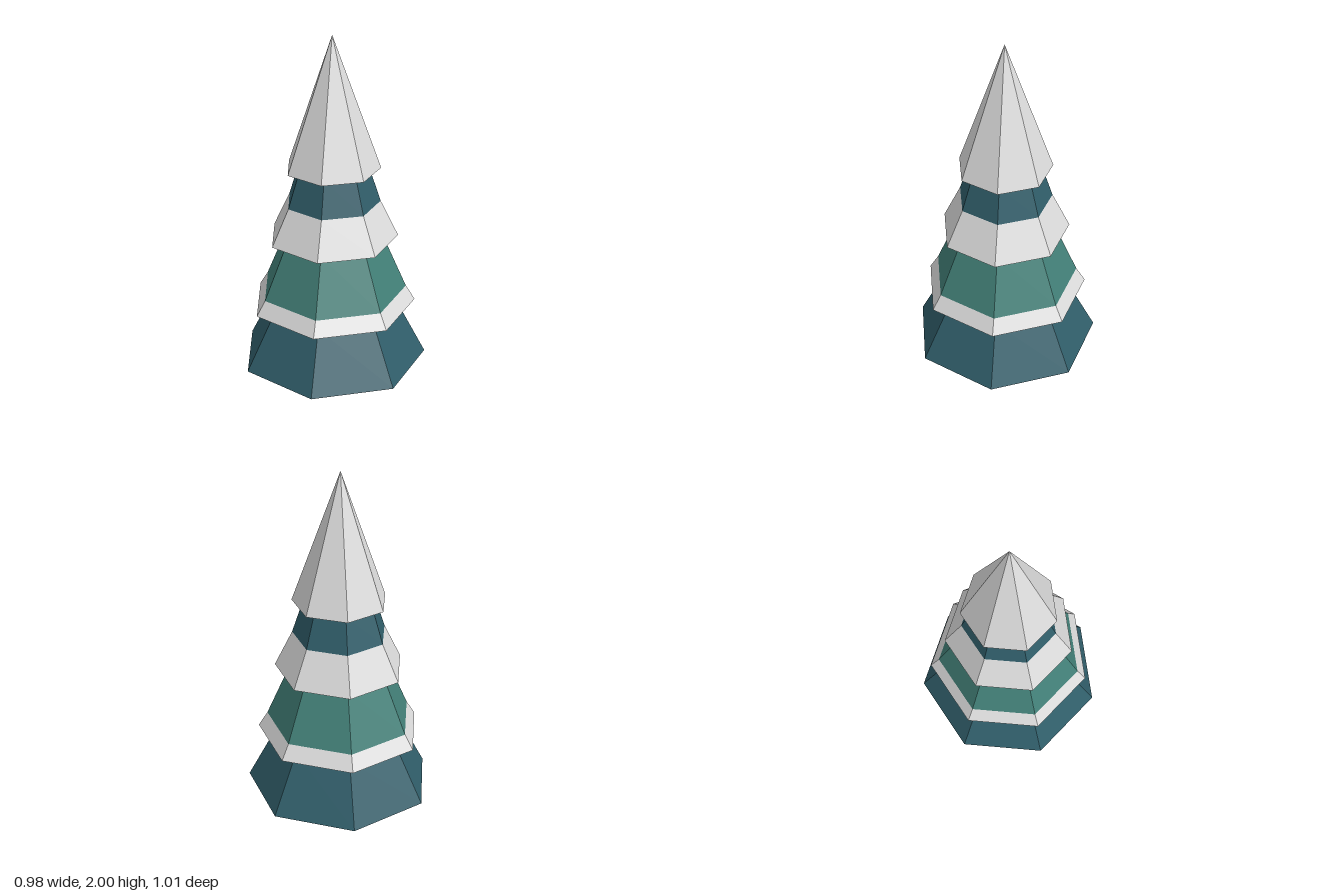
import * as THREE from 'three';

const material = (name, color) => {
  const m = new THREE.MeshStandardMaterial({ color, flatShading: true });
  m.name = name;
  return m;
};

export function createModel() {
  const tree = new THREE.Group();
  tree.name = 'snowyTree';

  const snow = material('snow white', 0xdedede);
  const teal = material('teal needles', 0x438179);
  const blue = material('deep blue needles', 0x315f6b);
  const bark = material('bark brown', 0x966d56);

  // Faceted ring: profile of [radius, y] from bottom to top, one corner on +x
  const addPart = (name, mat, sides, profile) => {
    const points = profile.map(([r, y]) => new THREE.Vector2(r, y));
    const geometry = new THREE.LatheGeometry(points, sides, Math.PI / 2).toNonIndexed();
    geometry.computeVertexNormals();
    const mesh = new THREE.Mesh(geometry, mat);
    mesh.name = name;
    mesh.position.x = -0.026; // the seven-sided outline is centred on x = 0
    tree.add(mesh);
  };

  // Six-sided trunk
  addPart('trunk', bark, 6, [[0, 0], [0.118, 0], [0.118, 0.172]]);

  // Bottom tier with closed underside
  addPart('bottomBranches', blue, 7, [[0, 0.17], [0.516, 0.17], [0.347, 0.497]]);

  // Middle tier: snowy hem with underside, then teal needles
  addPart('lowerSnowHem', snow, 7, [[0.347, 0.497], [0.453, 0.497], [0.403, 0.58]]);
  addPart('middleBranches', teal, 7, [[0.403, 0.58], [0.271, 0.888]]);

  // Upper tier: snowy hem with underside, then blue needles
  addPart('upperSnowHem', snow, 7, [[0.271, 0.888], [0.354, 0.888], [0.257, 1.09]]);
  addPart('upperBranches', blue, 7, [[0.257, 1.09], [0.195, 1.28]]);

  // Snow-covered tip
  addPart('snowCap', snow, 7, [[0.195, 1.28], [0.257, 1.28], [0, 2]]);

  return tree;
}
